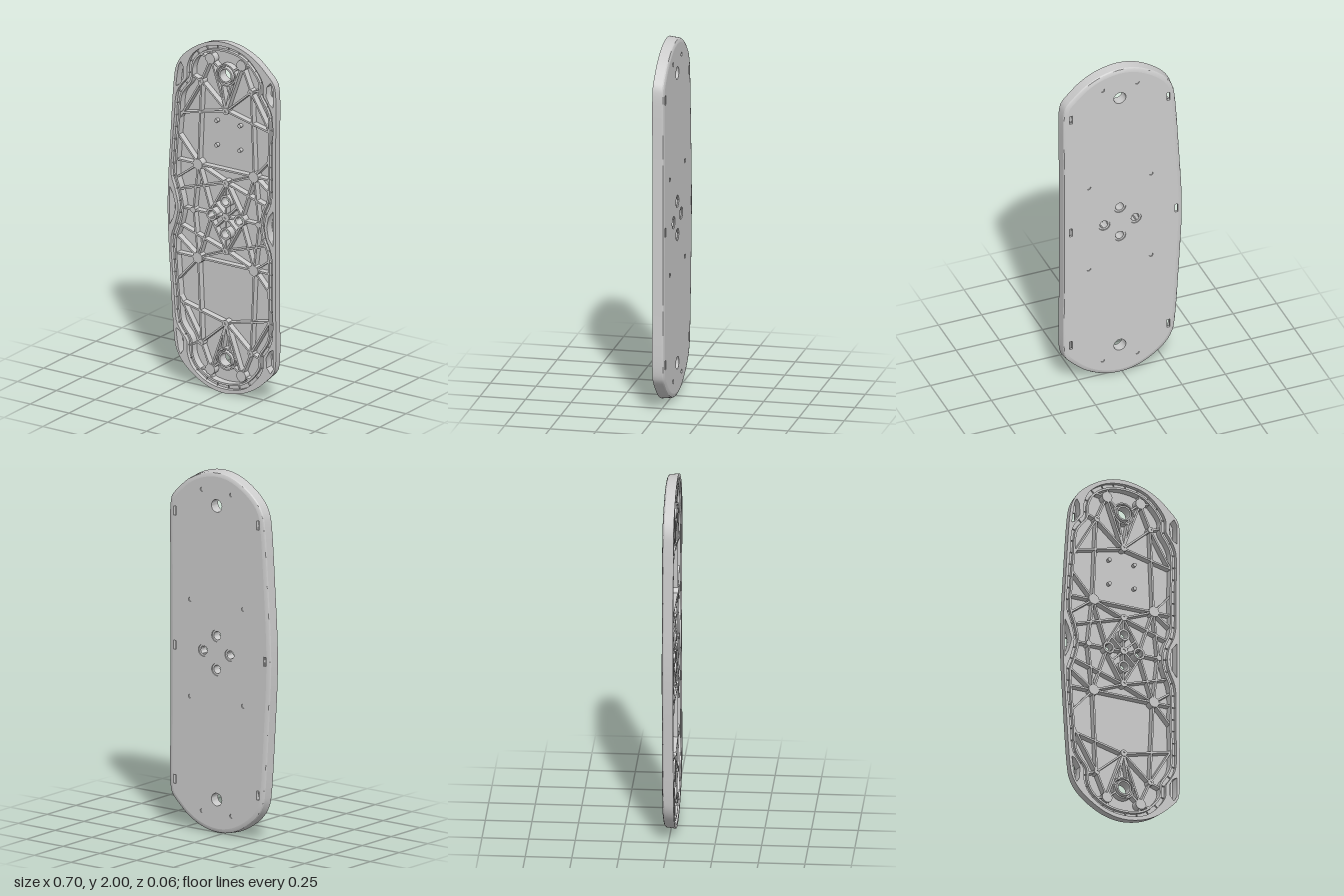
import * as THREE from 'three';
import { toCreasedNormals, mergeGeometries } from 'three/addons/utils/BufferGeometryUtils.js';

const CX = 0.02;                       // centre line of the ribs and holes
const BACK = -0.031, FLOOR = -0.017, FRONT = 0.031;
const V = (x, y) => new THREE.Vector2(x, y);

// upper halves of the outlines, y measured from the middle
const OUTLINE = [[0.348, 0], [0.348, 0.4], [0.347, 0.78], [0.335, 0.825], [0.29, 0.875], [0.22, 0.935],
  [0.13, 0.98], [0.02, 1], [-0.08, 0.985], [-0.18, 0.935], [-0.26, 0.865], [-0.295, 0.8],
  [-0.306, 0.74], [-0.33, 0.4], [-0.348, 0]];
const GROOVE = [[0.265, 0], [0.275, 0.065], [0.31, 0.155], [0.315, 0.39], [0.313, 0.64], [0.285, 0.7],
  [0.256, 0.745], [0.255, 0.81], [0.22, 0.87], [0.14, 0.94], [0.02, 0.965], [-0.095, 0.945],
  [-0.18, 0.885], [-0.21, 0.82], [-0.215, 0.745], [-0.25, 0.7], [-0.28, 0.65], [-0.295, 0.5],
  [-0.31, 0.315], [-0.315, 0.18], [-0.29, 0.1], [-0.27, 0]];

// closed loop mirrored top to bottom, counter-clockwise
function loop(half, count) {
  const low = half.slice(1, -1).reverse().map(([x, y]) => [x, -y]);
  const pts = [...half, ...low].map(([x, y]) => new THREE.Vector3(x, y, 0));
  const curve = new THREE.CatmullRomCurve3(pts, true, 'centripetal');
  return curve.getSpacedPoints(count).slice(0, count).map(p => V(p.x, p.y));
}
function inset(pts, d) {
  const n = pts.length;
  return pts.map((p, i) => {
    const t = pts[(i + 1) % n].clone().sub(pts[(i + n - 1) % n]).normalize();
    return V(p.x - t.y * d, p.y + t.x * d);
  });
}
const circle = (x, y, r, n = 24) => Array.from({ length: n }, (_, i) =>
  V(x + r * Math.cos(i / n * 2 * Math.PI), y + r * Math.sin(i / n * 2 * Math.PI)));
const rect = (x, y, w, h) => [V(x - w / 2, y - h / 2), V(x + w / 2, y - h / 2), V(x + w / 2, y + h / 2), V(x - w / 2, y + h / 2)];

// flat slab between two depths, with holes
function slab(pts, holes, z0, z1) {
  const shape = new THREE.Shape(pts);
  shape.holes = holes.map(h => new THREE.Path(h));
  const g = new THREE.ExtrudeGeometry(shape, { depth: z1 - z0, bevelEnabled: false });
  return toCreasedNormals(g.translate(0, 0, z0), 0.6);
}
const disc = (x, y, r, z1, n = 20) => slab(circle(x, y, r, n), [], FLOOR - 0.003, z1);
const tube = (x, y, r, hole, z1) => slab(circle(x, y, r), [circle(x, y, hole)], FLOOR - 0.003, z1);
function bar(a, b, width, z0, z1) {
  const g = new THREE.BoxGeometry(a.distanceTo(b), width, z1 - z0);
  g.rotateZ(Math.atan2(b.y - a.y, b.x - a.x));
  return g.translate((a.x + b.x) / 2, (a.y + b.y) / 2, (z0 + z1) / 2);
}

// outer skin: lip, drafted side and rounded back edge
function skin(pts) {
  const profile = [[0.009, FRONT], [0, FRONT], [0.006, -0.019], [0.01, -0.025], [0.018, -0.029], [0.03, BACK]];
  const n = pts.length, pos = [], idx = [];
  profile.forEach(([d, z]) => inset(pts, d).forEach(p => pos.push(p.x, p.y, z)));
  for (let j = 0; j < profile.length - 1; j++) for (let i = 0; i < n; i++) {
    const a = j * n + i, b = j * n + (i + 1) % n;
    idx.push(a, a + n, b, b, a + n, b + n);
  }
  const g = new THREE.BufferGeometry();
  g.setAttribute('position', new THREE.Float32BufferAttribute(pos, 3));
  g.setIndex(idx);
  return toCreasedNormals(g, 0.45);
}

export function createModel() {
  const group = new THREE.Group();
  const material = new THREE.MeshStandardMaterial({ color: 0xcccccc, side: THREE.DoubleSide });
  const add = (name, geos) => {
    const list = [].concat(geos).map(g => (g.index ? g.toNonIndexed() : g));
    const mesh = new THREE.Mesh(mergeGeometries(list), material);
    mesh.name = name;
    mesh.position.y = 1;
    group.add(mesh);
  };
  const outline = loop(OUTLINE, 200), groove = loop(GROOVE, 260);
  const signs = [1, -1];
  const mirror4 = fn => signs.forEach(sx => signs.forEach(sy => fn(sx, sy)));

  // hole positions
  const mains = signs.map(s => [CX, 0.81 * s]);
  const mounts = [[CX, 0.093], [CX, -0.093], [CX + 0.09, 0], [CX - 0.09, 0]];
  const screws = [];
  mirror4((sx, sy) => screws.push([CX + 0.18 * sx, 0.267 * sy], [CX + 0.1 * sx, 0.886 * sy]));
  const slots = [[0.303, 0], [-0.306, 0], ...signs.flatMap(s => [[0.303, 0.74 * s], [-0.261, 0.745 * s]])]
    .map(([x, y]) => rect(x, y, 0.017, 0.05));

  // back panel in two layers so the rear recesses have a floor
  const panel = inset(outline, 0.03);
  const bores = mains.map(([x, y]) => circle(x, y, 0.035));
  add('outerSkin', skin(outline));
  add('backPanel', [
    slab(panel, [...slots, ...bores, ...mounts.map(([x, y]) => circle(x, y, 0.034)),
      ...screws.map(([x, y]) => circle(x, y, 0.012, 12))], BACK, -0.025),
    slab(panel, [...slots, ...bores, ...mounts.map(([x, y]) => circle(x, y, 0.023))], -0.025, FLOOR)]);

  // rim with clip pockets
  const flip = pts => pts.map(p => V(p.x, -p.y));
  const rightPocket = [V(0.332, 0.69), V(0.332, 0.8), V(0.315, 0.83), V(0.29, 0.8), V(0.287, 0.745), V(0.308, 0.705)];
  const leftPocket = [V(-0.295, 0.69), V(-0.288, 0.75), V(-0.278, 0.81), V(-0.265, 0.835), V(-0.25, 0.81), V(-0.247, 0.745), V(-0.275, 0.7)];
  const pockets = [rightPocket, leftPocket, flip(rightPocket), flip(leftPocket),
    [V(0.332, -0.1), V(0.332, 0.1), V(0.302, 0.06), V(0.291, 0), V(0.302, -0.06)],
    [V(-0.336, -0.11), V(-0.336, 0.11), V(-0.315, 0.07), V(-0.296, 0), V(-0.315, -0.07)]];
  add('rim', slab(inset(outline, 0.008), [inset(groove, -0.011), ...pockets], -0.019, FRONT));
  add('grooveFloor', slab(inset(groove, -0.012), [inset(groove, 0.012)], -0.019, 0.008));
  add('innerWall', slab(inset(groove, 0.01), [inset(groove, 0.021)], -0.019, 0.026));

  // small cross ties inside the groove
  const gIn = inset(groove, 0.011), gOut = inset(groove, -0.012), ties = [];
  for (let i = 0; i < groove.length; i += 4) ties.push(bar(gIn[i], gOut[i], 0.004, 0.006, 0.016));
  add('grooveTies', ties);

  // ribs: nodes are relative to the centre line and mirrored both ways
  const A = [0.18, 0.267], B = [0, 0.195], C = [0, 0.605], D = [0.16, 0.745], E = [0.1, 0.886], F = [0.21, 0];
  const spans = [[[0, 0.267], A], [A, B], [A, D], [C, D], [C, E], [D, E], [A, F], [A, [0.1, 0.02]],
    [B, [0.1, 0.02]], [B, [0, 0.12]], [[0, 0], [0, 0.07]], [[0, 0], [0.07, 0]], [[0.11, 0], F],
    [C, [0.03, 0.765]], [E, [0.045, 0.84]], [[0.012, 0.012], [0.07, 0.07]]];
  // start node and a point giving the direction towards the wall
  const toWall = [[A, [0.27, 0.2]], [A, [0.28, 0.38]], [A, [0.3, 0.267]], [C, [0.28, 0.54]], [D, [0.28, 0.54]],
    [D, [0.23, 0.77]], [E, [0.09, 0.97]], [E, [0.18, 0.9]], [F, [0.3, 0]], [B, [0.27, 0.11]]];
  const reach = (a, toward) => {
    const step = toward.clone().sub(a).normalize().multiplyScalar(0.004), p = a.clone();
    for (let i = 0; i < 150 && !groove.some(g => g.distanceTo(p) < 0.017); i++) p.add(step);
    return p;
  };
  const ribs = [];
  mirror4((sx, sy) => {
    const at = ([x, y]) => V(CX + x * sx, y * sy);
    spans.forEach(([a, b]) => ribs.push(bar(at(a), at(b), 0.01, FLOOR - 0.003, 0.02)));
    toWall.forEach(([a, b]) => ribs.push(bar(at(a), reach(at(a), at(b)), 0.01, FLOOR - 0.003, 0.02)));
  });
  add('ribs', ribs);

  // bosses at the rib nodes
  add('screwBosses', screws.map(([x, y]) => disc(x, y, 0.03, 0.024)));
  const small = [tube(CX, 0, 0.022, 0.008, 0.024)];
  signs.forEach(s => {
    small.push(tube(CX, B[1] * s, 0.019, 0.007, 0.024), tube(CX, C[1] * s, 0.019, 0.007, 0.024),
      disc(CX + F[0] * s, 0, 0.016, 0.024));
  });
  mirror4((sx, sy) => small.push(tube(CX + D[0] * sx, D[1] * sy, 0.017, 0.006, 0.024)));
  add('nodeBosses', small);
  add('mountingSleeves', mounts.map(([x, y]) => tube(x, y, 0.034, 0.023, 0.026)));
  add('mainHoleSleeves', mains.flatMap(([x, y]) => [tube(x, y, 0.044, 0.035, 0.026), tube(x, y, 0.063, 0.055, 0.02)]));

  // four studs on the upper open field
  const studs = [];
  signs.forEach(s => [0.39, 0.53].forEach(y => studs.push(disc(CX + 0.075 * s, y, 0.011, 0.005, 12))));
  add('studs', studs);
  return group;
}
